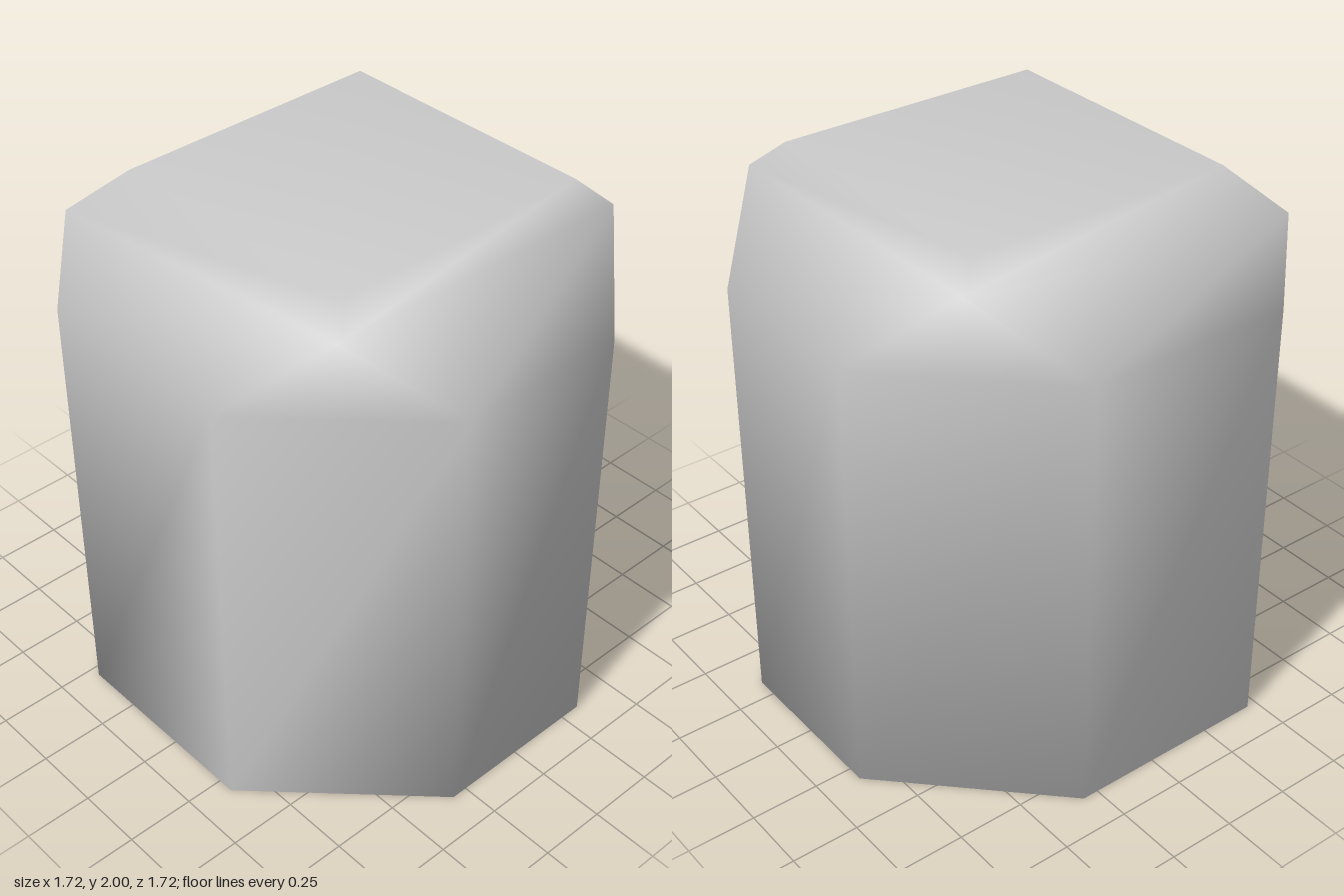
import * as THREE from 'three';

const HALF = 0.86;      // half width of the block
const TOP = 2;          // height
const TOP_HALF = 0.505; // half width of the flat top
const SHOULDER = TOP + TOP_HALF; // 45 degree top chamfer: y + distance = SHOULDER

// Corners, counter-clockwise from above; cut = |x| + |z| on the upright chamfer
const CORNERS = [
  { x: 1, z: 1, cut: 1.17 },
  { x: 1, z: -1, cut: 1.19 },
  { x: -1, z: -1, cut: 1.17 },
  { x: -1, z: 1, cut: 1.32 },
];

function chamferedBlockGeometry() {
  const positions = [];
  const index = [];
  const vertex = (x, y, z) => positions.push(x, y, z) / 3 - 1;
  // Convex face from corners listed counter-clockwise
  const face = (...v) => {
    for (let i = 1; i < v.length - 1; i++) index.push(v[0], v[i], v[i + 1]);
  };

  const rings = CORNERS.map(({ x, z, cut }, i) => {
    const near = cut - HALF;
    const onX = [x * HALF, z * near];
    const onZ = [x * near, z * HALF];
    const pair = i % 2 ? [onX, onZ] : [onZ, onX];
    return {
      top: vertex(x * TOP_HALF, TOP, z * TOP_HALF),
      apex: vertex((x * cut) / 2, SHOULDER - cut / 2, (z * cut) / 2),
      upper: pair.map(([px, pz]) => vertex(px, SHOULDER - HALF, pz)),
      base: pair.map(([px, pz]) => vertex(px, 0, pz)),
    };
  });

  rings.forEach((c, i) => {
    const n = rings[(i + 1) % 4];
    // Upright corner chamfer with its pointed top
    face(c.base[0], c.base[1], c.upper[1], c.upper[0]);
    face(c.upper[0], c.upper[1], c.apex);
    // Wall, then the sloping shoulder in two bands
    face(c.base[1], n.base[0], n.upper[0], c.upper[1]);
    face(c.upper[1], n.upper[0], n.apex, c.apex);
    face(c.apex, n.apex, n.top, c.top);
  });

  // Flat top and underside
  face(...rings.map((c) => c.top));
  face(...rings.flatMap((c) => c.base).reverse());

  const geometry = new THREE.BufferGeometry();
  geometry.setAttribute('position', new THREE.Float32BufferAttribute(positions, 3));
  geometry.setIndex(index);
  geometry.computeVertexNormals(); // soft shading over shared corners
  return geometry;
}

export function createModel() {
  const group = new THREE.Group();
  group.name = 'chamferedStone';
  const block = new THREE.Mesh(
    chamferedBlockGeometry(),
    new THREE.MeshStandardMaterial({ color: 0xcccccc }),
  );
  block.name = 'stoneBlock';
  group.add(block);
  return group;
}
